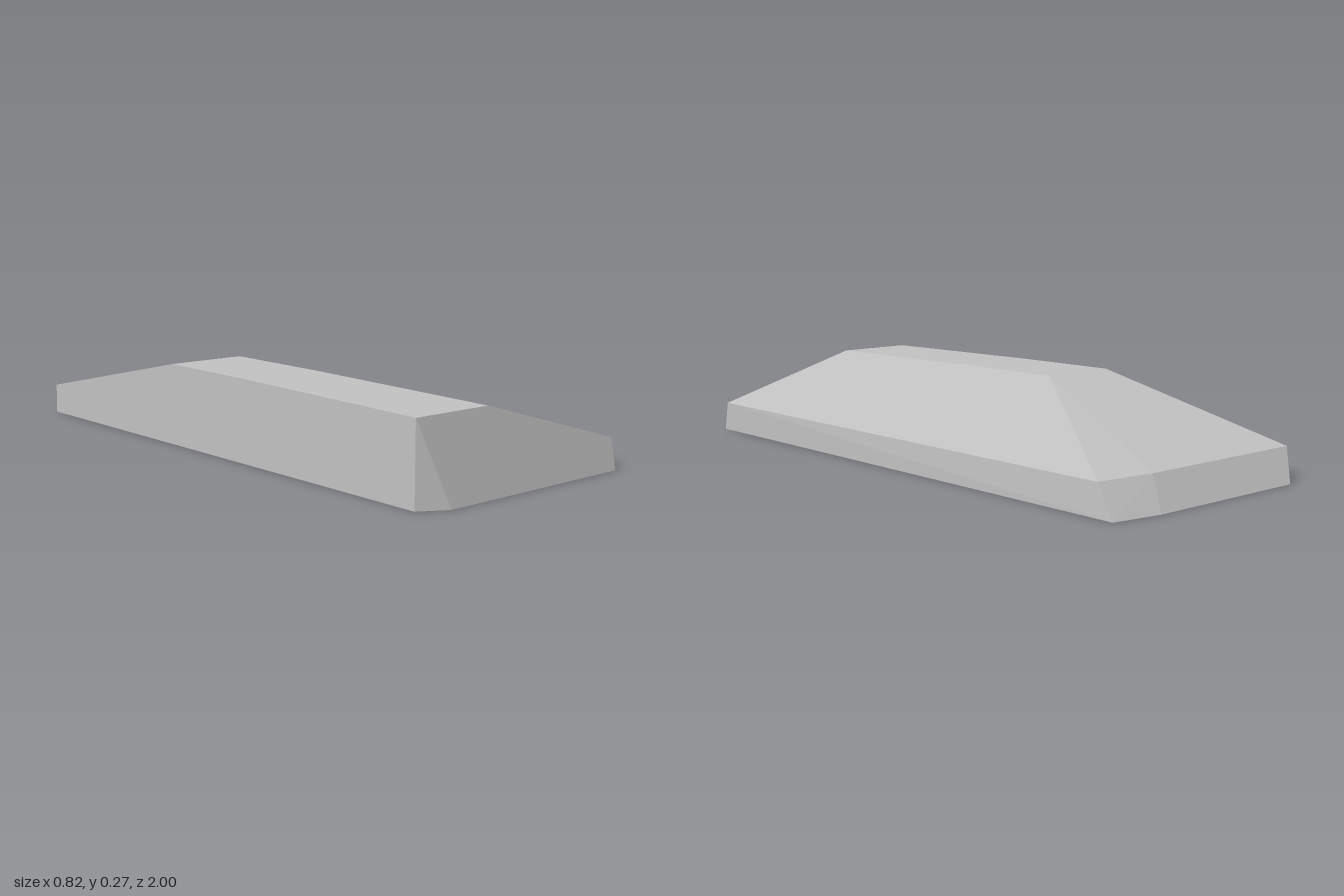
import * as THREE from 'three';
import { ConvexGeometry } from 'three/addons/geometries/ConvexGeometry.js';

export function createModel() {
  const grey = new THREE.MeshStandardMaterial({ color: 0xc0c0c0 });
  grey.name = 'light grey';

  // Footprint on the ground, with clipped corners
  const base = [
    [-0.41, 0, 0.95], [-0.32, 0, 1], [0.4, 0, 0.99], [0.408, 0, -0.975],
    [0.24, 0, -1], [-0.35, 0, -1], [-0.41, 0, -0.945],
  ];
  // Low rim along the sloped side and the back
  const rim = [
    [0.4, 0.1, 0.97], [0.4, 0.1, -0.91], [0.21, 0.102, -0.94], [-0.41, 0.102, -0.94],
  ];
  // Raised deck, dropping slightly toward the front
  const deck = [
    [-0.41, 0.256, 0.95], [-0.13, 0.256, 0.95],
    [-0.41, 0.266, 0.23], [-0.132, 0.266, 0.23],
    [-0.41, 0.268, -0.18], [-0.135, 0.268, -0.18],
  ];

  const points = [...base, ...rim, ...deck].map((p) => new THREE.Vector3(...p));
  const wedge = new THREE.Mesh(new ConvexGeometry(points), grey);
  wedge.name = 'wedgeBlock';

  const model = new THREE.Group();
  model.name = 'facetedWedge';
  model.add(wedge);
  return model;
}
